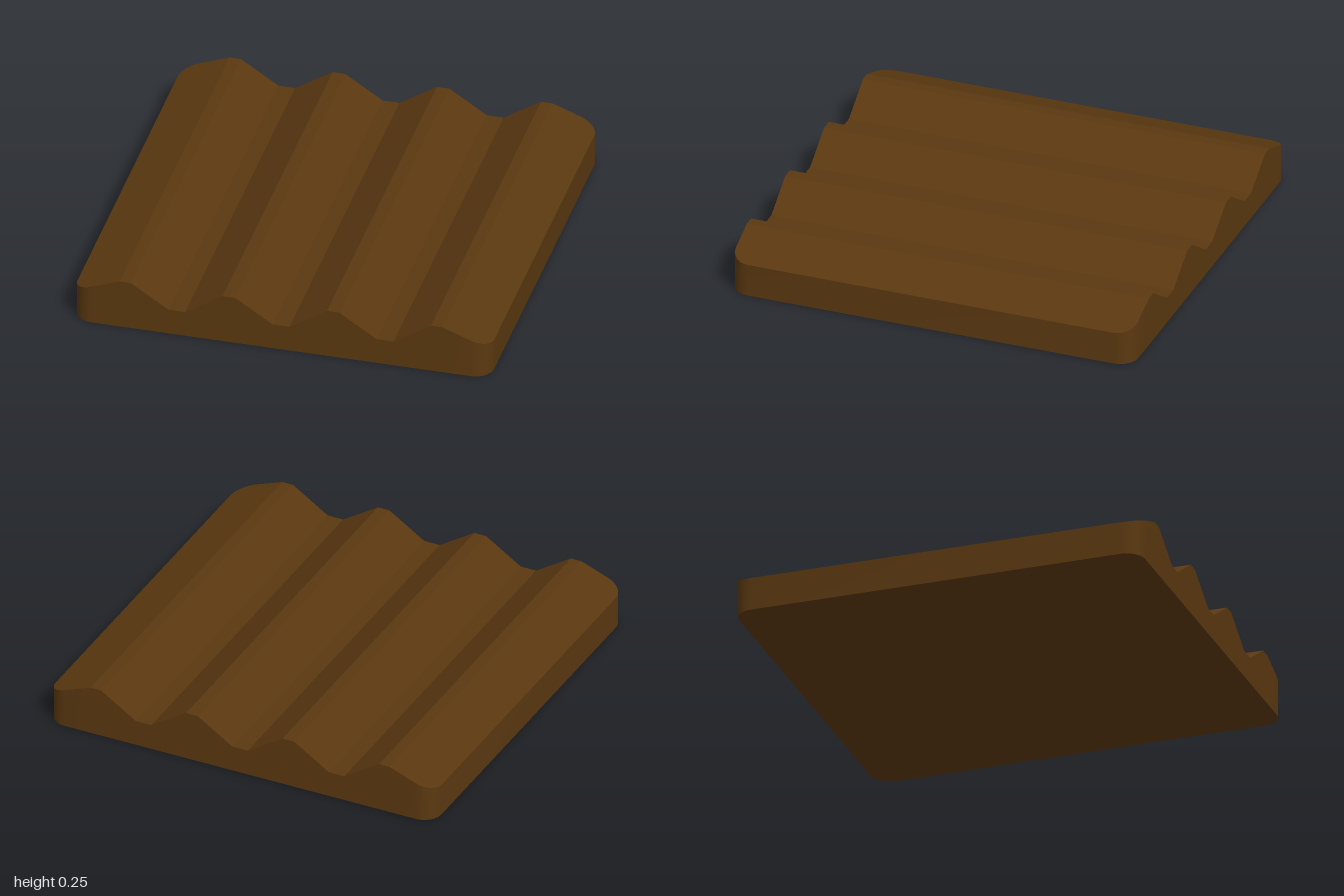
import * as THREE from 'three';
import { toCreasedNormals } from 'three/addons/utils/BufferGeometryUtils.js';

const RADIUS = 0.09;
const ARC_STEPS = 8;

// Right half of the ridged profile: [x, height], mirrored for the left half
const HALF = [
  [0.04, 0.13], [0.22, 0.247], [0.28, 0.247], [0.46, 0.13],
  [0.54, 0.13], [0.72, 0.247], [0.775, 0.247], [1, 0.162],
];
const PROFILE = [...HALF.map(([x, y]) => [-x, y]).reverse(), ...HALF];

// Height of the ridged top at x
function heightAt(x) {
  for (let i = 1; i < PROFILE.length; i++) {
    const [x0, y0] = PROFILE[i - 1];
    const [x1, y1] = PROFILE[i];
    if (x <= x1) return y0 + ((y1 - y0) * (x - x0)) / (x1 - x0);
  }
  return PROFILE[PROFILE.length - 1][1];
}

// Columns across the slab: x, top height h, half depth w (rounded corners)
function makeColumns() {
  const columns = PROFILE.slice(1, -1).map(([x, h]) => ({ x, h, w: 1 }));
  for (let i = 0; i <= ARC_STEPS; i++) {
    const a = (i / ARC_STEPS) * Math.PI / 2;
    const x = 1 - RADIUS + RADIUS * Math.sin(a);
    const w = 1 - RADIUS + RADIUS * Math.cos(a);
    for (const s of [-1, 1]) columns.push({ x: s * x, h: heightAt(s * x), w });
  }
  return columns.sort((a, b) => a.x - b.x);
}

// Flat-shaded geometry from counter-clockwise quads
function quadGeometry(quads) {
  const positions = quads.flatMap(([a, b, c, d]) => [a, b, c, a, c, d].flat());
  const geometry = new THREE.BufferGeometry();
  geometry.setAttribute('position', new THREE.Float32BufferAttribute(positions, 3));
  geometry.computeVertexNormals();
  return geometry;
}

export function createModel() {
  const group = new THREE.Group();
  group.name = 'ridgedBoard';
  const wood = new THREE.MeshStandardMaterial({ color: 0x5a3810 });
  wood.name = 'dark brown';

  const columns = makeColumns();
  const top = [], bottom = [], walls = [];
  for (let i = 1; i < columns.length; i++) {
    const p = columns[i - 1], q = columns[i];
    top.push([[p.x, p.h, p.w], [q.x, q.h, q.w], [q.x, q.h, -q.w], [p.x, p.h, -p.w]]);
    bottom.push([[p.x, 0, -p.w], [q.x, 0, -q.w], [q.x, 0, q.w], [p.x, 0, p.w]]);
    // Front and back walls
    walls.push([[p.x, 0, p.w], [q.x, 0, q.w], [q.x, q.h, q.w], [p.x, p.h, p.w]]);
    walls.push([[q.x, 0, -q.w], [p.x, 0, -p.w], [p.x, p.h, -p.w], [q.x, q.h, -q.w]]);
  }
  // Side walls
  const { h, w } = columns[0];
  for (const s of [-1, 1]) {
    walls.push([[s, 0, s * w], [s, 0, -s * w], [s, h, -s * w], [s, h, s * w]]);
  }

  const parts = {
    ridgedTop: quadGeometry(top),
    base: quadGeometry(bottom),
    sideWalls: toCreasedNormals(quadGeometry(walls), 0.5),
  };
  for (const [name, geometry] of Object.entries(parts)) {
    const mesh = new THREE.Mesh(geometry, wood);
    mesh.name = name;
    group.add(mesh);
  }
  return group;
}
